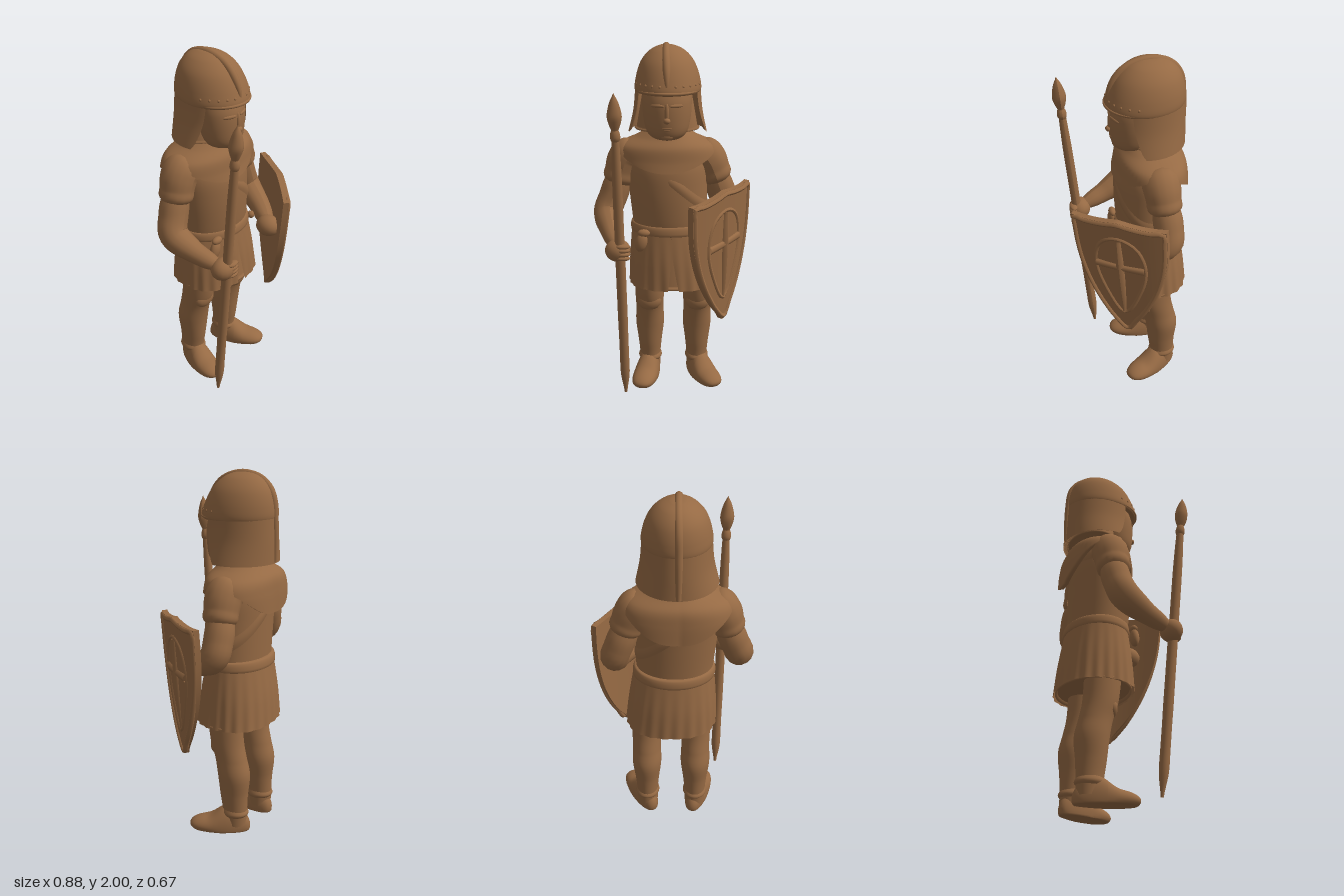
import * as THREE from 'three';
import { ParametricGeometry } from 'three/addons/geometries/ParametricGeometry.js';

const V = (x, y, z) => new THREE.Vector3(x, y, z);

// Smooth interpolation through a list of number rows
function spline(rows, t) {
  const n = rows.length - 1, i = Math.min(Math.floor(t * n), n - 1), f = t * n - i;
  const a = rows[Math.max(i - 1, 0)], b = rows[i], c = rows[i + 1], d = rows[Math.min(i + 2, n)];
  return b.map((p, k) => p + 0.5 * f * (c[k] - a[k] + f * (2 * a[k] - 5 * p + 4 * c[k] - d[k]
    + f * (3 * (p - c[k]) + d[k] - a[k]))));
}

// Point on an elliptical ring [y, cx, cz, rx, rz]; angle 0 is the front
const onRing = ([y, cx, cz, rx, rz], a, out = V()) => out.set(cx + rx * Math.sin(a), y, cz + rz * Math.cos(a));

const sheet = (fn, nu, nv) => new ParametricGeometry(fn, nu, nv);
const loft = (rings, nv = 24) =>
  sheet((u, v, p) => onRing(spline(rings, v), u * Math.PI * 2, p), 48, nv);

// Round tube through points with varying radius
function limb(points, radii, closed = false, segs = 32, sides = 16) {
  const curve = new THREE.CatmullRomCurve3(points.map(p => V(...p)), closed);
  const g = new THREE.TubeGeometry(curve, segs, 1, sides, closed);
  const pos = g.attributes.position, q = V();
  for (let i = 0; i < pos.count; i++) {
    const t = Math.floor(i / (sides + 1)) / segs, c = curve.getPointAt(Math.min(t, 1));
    const r = Math.max(0.001, spline(radii.map(x => [x]), Math.min(t, 1))[0]);
    q.fromBufferAttribute(pos, i).sub(c).multiplyScalar(r).add(c);
    pos.setXYZ(i, q.x, q.y, q.z);
  }
  g.computeVertexNormals();
  return g;
}

// Move every vertex by a rule
function warp(g, rule) {
  const pos = g.attributes.position, q = V();
  for (let i = 0; i < pos.count; i++) {
    rule(q.fromBufferAttribute(pos, i));
    pos.setXYZ(i, q.x, q.y, q.z);
  }
  g.computeVertexNormals();
  return g;
}

export function createModel() {
  const model = new THREE.Group();
  const bronze = new THREE.MeshStandardMaterial({ color: 0x966a44, side: THREE.DoubleSide });
  bronze.name = 'bronze brown';
  const add = (name, g, parent = model) => {
    const m = new THREE.Mesh(g, bronze);
    m.name = name;
    parent.add(m);
    return m;
  };
  const blob = (name, p, s, parent = model, n = 16) => {
    const m = add(name, new THREE.SphereGeometry(1, n, Math.max(6, n * 0.7 | 0)), parent);
    m.position.set(...p);
    m.scale.set(...s);
    return m;
  };

  // Torso, neck and belt
  const torso = [[0.93, -0.01, -0.12, 0.208, 0.155], [1.03, -0.015, -0.113, 0.212, 0.164], [1.2, -0.025, -0.11, 0.219, 0.17],
    [1.34, -0.03, -0.115, 0.22, 0.165], [1.44, -0.03, -0.13, 0.19, 0.13], [1.49, -0.03, -0.13, 0.1, 0.09]];
  add('torso', loft(torso));
  add('neck', loft([[1.42, -0.03, -0.11, 0.11, 0.11], [1.56, -0.03, -0.1, 0.1, 0.1]], 4));
  add('belt', loft([[0.95, -0.01, -0.12, 0.2, 0.155], [0.955, -0.01, -0.12, 0.226, 0.18],
    [1.0, -0.012, -0.12, 0.222, 0.175], [1.01, -0.012, -0.12, 0.2, 0.155]], 9));

  // Strap slung around the chest
  add('chestStrap', sheet((u, v, p) => {
    const a = u * Math.PI * 2, x = -0.03 + 0.218 * Math.sin(a), bulge = 0.005 * Math.sin(v * Math.PI);
    const y = Math.min(1.37, 1.27 - 0.95 * x) + (v - 0.5) * 0.07;
    const r = spline(torso, THREE.MathUtils.clamp((y - 0.95) / 0.56, 0, 0.7));
    onRing([y, r[1], r[2], r[3] + 0.003 + bulge, r[4] + 0.003 + bulge], a, p);
  }, 60, 6));

  // Shoulder mantle with a hem that dips at the front and back
  add('mantle', sheet((u, v, p) => {
    const a = u * Math.PI * 2, c = Math.cos(a), s2 = Math.abs(Math.sin(2 * a));
    const drop = c > 0 ? 0.55 + 0.4 * c * c : 0.6 + 0.4 * c * c;
    const rows = [[1.54, -0.03, -0.12, 0.1, 0.1], [1.495, -0.03, -0.125, 0.17, 0.135], [1.445, -0.03, -0.13, 0.265, 0.175],
      [1.37, -0.03, -0.13, 0.29, 0.188], [c > 0 ? 1.31 : 1.26, -0.03, -0.125, 0.275, 0.197]];
    const s = Math.min(v / 0.92, 1) * drop, tuck = v > 0.92 ? (v - 0.92) / 0.08 * 0.03 : 0;
    const r = spline(rows, s), square = c < 0 ? 1 + 0.11 * s2 * s : 1;
    onRing([r[0], r[1], r[2], (r[3] - tuck) * square, (r[4] - tuck) * square], a, p);
  }, 60, 24));

  // Pleated skirt with a front slit, over a closed lining
  add('skirt', sheet((u, v, p) => {
    const gap = 0.12 * Math.max(0, 1 - v * 1.6) + 0.005, a = gap + u * (Math.PI * 2 - 2 * gap);
    const w = 1 + (1 - v) * (0.05 * Math.sin(2 * a) ** 2 - 0.014 * (1 + Math.cos(22 * a)));
    const r = spline([[0.635, 0.005, -0.125, 0.257, 0.21], [0.8, -0.002, -0.123, 0.243, 0.197], [0.98, -0.01, -0.12, 0.22, 0.17]], v);
    onRing([r[0], r[1], r[2], r[3] * w, r[4] * w], a, p);
  }, 176, 12));
  add('skirtLining', loft([[0.655, 0.005, -0.125, 0.002, 0.002], [0.655, 0.005, -0.125, 0.235, 0.188],
    [0.66, 0.005, -0.125, 0.235, 0.188], [0.95, -0.01, -0.12, 0.2, 0.145]], 12));
  blob('beltPouch', [-0.175, 0.92, 0.045], [0.034, 0.055, 0.025]).rotation.z = -0.25;
  blob('beltKnot', [-0.16, 0.975, 0.045], [0.035, 0.022, 0.022]);
  blob('beltStud', [0.18, 0.97, 0.0], [0.022, 0.022, 0.022]);

  // Head and face
  const head = new THREE.Group();
  head.name = 'head';
  model.add(head);
  add('face', loft([[1.495, -0.03, -0.03, 0.002, 0.002], [1.5, -0.03, -0.025, 0.065, 0.067], [1.535, -0.03, -0.03, 0.108, 0.103],
    [1.61, -0.03, -0.04, 0.128, 0.124], [1.7, -0.03, -0.045, 0.134, 0.127], [1.77, -0.03, -0.06, 0.132, 0.12]]), head);
  blob('noseBridge', [-0.03, 1.65, 0.08], [0.013, 0.055, 0.013], head);
  blob('noseTip', [-0.03, 1.613, 0.087], [0.019, 0.016, 0.018], head);
  blob('upperLip', [-0.03, 1.573, 0.074], [0.03, 0.007, 0.01], head);
  blob('lowerLip', [-0.03, 1.56, 0.071], [0.024, 0.007, 0.01], head);
  blob('chin', [-0.03, 1.525, 0.052], [0.038, 0.024, 0.018], head);
  for (const s of [-1, 1]) {
    blob('eye', [-0.03 + s * 0.05, 1.655, 0.069], [0.02, 0.009, 0.006], head).rotation.y = s * 0.4;
    blob('brow', [-0.03 + s * 0.05, 1.69, 0.067], [0.04, 0.011, 0.011], head).rotation.y = s * 0.4;
  }

  // Helmet dome, neck guard, lining, brim, crest and rivets
  const helmet = new THREE.Group();
  helmet.name = 'helmet';
  model.add(helmet);
  add('helmetDome', loft([[1.745, -0.025, -0.1, 0.13, 0.15], [1.75, -0.025, -0.1, 0.178, 0.207], [1.82, -0.025, -0.11, 0.173, 0.2],
    [1.9, -0.027, -0.12, 0.145, 0.168], [1.955, -0.028, -0.127, 0.098, 0.118], [1.982, -0.03, -0.13, 0.045, 0.06],
    [1.988, -0.03, -0.13, 0.002, 0.002]], 36), helmet);
  add('neckGuard', sheet((u, v, p) => {
    const t = 1 - Math.abs(1 - 2 * v), open = 1.05 + 0.32 * t * t;
    const r = spline([[1.79, -0.025, -0.105, 0.176, 0.205], [1.65, -0.025, -0.105, 0.188, 0.211], [1.525, -0.027, -0.105, 0.215, 0.213]], t);
    const thick = v > 0.5 ? 0.028 * Math.pow(Math.sin(Math.PI * u), 0.3) : 0;
    onRing([r[0], r[1], r[2], r[3] - thick, r[4] - thick], open + u * (Math.PI * 2 - 2 * open), p);
  }, 48, 24), helmet);
  add('helmetLining', loft([[1.54, -0.03, -0.155, 0.002, 0.002], [1.54, -0.03, -0.155, 0.168, 0.13],
    [1.545, -0.03, -0.155, 0.168, 0.13], [1.76, -0.03, -0.15, 0.13, 0.11]], 9), helmet);
  const brimRing = [1.757, -0.025, -0.1, 0.177, 0.206], brim = [];
  for (let i = -6; i <= 6; i++) brim.push(onRing(brimRing, i * 0.2).toArray());
  add('helmetBrim', limb(brim, [0.003, 0.008, 0.008, 0.003]), helmet);
  for (let i = -5; i <= 5; i++) {
    if (i) blob('rivet', onRing([1.792, -0.025, -0.104, 0.175, 0.202], i * 0.24).toArray(), [0.008, 0.008, 0.007], helmet, 8);
  }
  add('helmetCrest', limb([[-0.03, 1.745, 0.097], [-0.03, 1.82, 0.086], [-0.032, 1.9, 0.044], [-0.033, 1.95, -0.012],
    [-0.033, 1.978, -0.125], [-0.034, 1.95, -0.23], [-0.035, 1.88, -0.286], [-0.035, 1.75, -0.305], [-0.035, 1.53, -0.312]],
    [0.004, 0.02, 0.021, 0.021, 0.021, 0.021, 0.019, 0.015], false, 60), helmet);

  // Arms with short sleeves
  add('rightSleeve', limb([[-0.18, 1.41, -0.13], [-0.255, 1.37, -0.125], [-0.29, 1.28, -0.12], [-0.315, 1.19, -0.115]],
    [0.06, 0.1, 0.1, 0.094, 0.088, 0.03]));
  add('rightArm', limb([[-0.29, 1.28, -0.12], [-0.33, 1.16, -0.11], [-0.365, 1.065, -0.08], [-0.345, 1.0, 0.03], [-0.31, 0.955, 0.16],
    [-0.295, 0.945, 0.2]], [0.07, 0.08, 0.08, 0.08, 0.072, 0.058, 0.048, 0.03]));
  add('leftSleeve', limb([[0.12, 1.41, -0.14], [0.192, 1.37, -0.14], [0.232, 1.29, -0.145], [0.265, 1.2, -0.15]],
    [0.06, 0.1, 0.1, 0.094, 0.088, 0.03]));
  add('leftArm', limb([[0.235, 1.28, -0.15], [0.28, 1.16, -0.16], [0.31, 1.07, -0.15], [0.27, 1.0, -0.02], [0.2, 0.965, 0.1],
    [0.18, 0.96, 0.13]], [0.07, 0.08, 0.08, 0.078, 0.068, 0.06, 0.052, 0.03]));
  blob('rightHand', [-0.295, 0.935, 0.21], [0.07, 0.062, 0.062]);
  for (let i = 0; i < 4; i++) blob('rightFinger', [-0.265, 0.97 - i * 0.022, 0.25], [0.04, 0.014, 0.024], model, 10);
  blob('leftHand', [0.172, 0.955, 0.135], [0.064, 0.06, 0.072]);

  // Spear: shaft and leaf-shaped head
  const at = y => [-0.27 - 0.0135 * (y - 0.04), y, 0.145 + 0.092 * (y - 0.04)];
  add('spearShaft', limb([at(0.035), at(0.6), at(1.2), at(1.62)],
    [0.008, 0.025, 0.026, 0.026, 0.027, 0.027, 0.027, 0.027, 0.026, 0.026, 0.026, 0.025, 0.022, 0.018], false, 56));
  add('spearSocket', limb([at(1.54), at(1.58), at(1.62)], [0.015, 0.026, 0.024, 0.015], false, 12));
  add('spearHead', limb([at(1.6), at(1.7), at(1.8)], [0.016, 0.03, 0.038, 0.032, 0.02, 0.001], false, 20, 8));

  // Legs, knee pads, ankle cuffs and feet
  for (const [side, x, turn] of [['right', -0.135, -0.22], ['left', 0.147, 0.45]]) {
    const leg = new THREE.Group();
    leg.name = side + 'Leg';
    leg.position.x = x;
    model.add(leg);
    add('leg', loft([[0.04, 0, -0.185, 0.06, 0.07], [0.13, 0, -0.185, 0.062, 0.072], [0.22, 0, -0.18, 0.07, 0.08],
      [0.34, 0, -0.178, 0.084, 0.092], [0.44, 0, -0.158, 0.081, 0.09], [0.54, 0, -0.133, 0.084, 0.095], [0.68, 0, -0.12, 0.085, 0.1]]), leg);
    blob('kneePad', [0, 0.51, -0.085], [0.07, 0.06, 0.042], leg);
    add('ankleCuff', loft([[0.085, 0, -0.185, 0.055, 0.06], [0.11, 0, -0.185, 0.07, 0.08], [0.14, 0, -0.185, 0.06, 0.065]], 8), leg);
    const foot = add('foot', warp(new THREE.SphereGeometry(1, 32, 24), p => {
      const z = p.z, h = 0.06 + 0.07 * THREE.MathUtils.smoothstep(-z, -0.45, 0.35);
      const fill = Math.pow(Math.max(1 - z * z, 0), -0.12);
      p.set(p.x * (0.072 + 0.012 * z) * Math.min(fill, 1.4), 0.025 + p.y * h, z * 0.172 + 0.084);
      p.y = Math.max(0, p.y);
    }), leg);
    foot.position.z = -0.185;
    foot.rotation.y = turn;
  }

  // Curved shield with raised rim and cross
  const shield = new THREE.Group();
  shield.name = 'shield';
  shield.position.set(0.275, 0.853, 0.088);
  shield.rotation.set(0.05, 0.927, 0.06, 'YXZ');
  model.add(shield);
  const halfWidth = s => spline([[0.27], [0.27], [0.258], [0.227], [0.175], [0.1], [0.006]], s)[0];
  const place = (k, s, lift) => {
    const x = k * halfWidth(s), dip = 0.022 * Math.sin(Math.PI * 0.62 * Math.abs(k)) * (1 - s);
    return V(x, 0.39 - 0.78 * s - dip, lift - 0.35 * x * x);
  };
  add('shieldBoard', warp(new THREE.BoxGeometry(2, 1, 0.032, 20, 28, 1), p => p.copy(place(p.x, 0.5 - p.y, p.z))), shield);
  const rim = [];
  for (let i = 0; i <= 8; i++) rim.push(place(-0.94 + i * 0.235, 0.02, 0.012).toArray());
  for (let i = 1; i <= 10; i++) rim.push(place(0.94, i * 0.098, 0.012).toArray());
  for (let i = 9; i >= 1; i--) rim.push(place(-0.94, i * 0.098, 0.012).toArray());
  add('shieldRim', limb(rim, [0.015, 0.015], true, 90, 8), shield);
  const relief = (name, pts, radii, closed) =>
    add(name, limb(pts.map(([x, y]) => [x, y, 0.009 - 0.35 * x * x]), radii, closed, 40, 8), shield);
  relief('reliefRing', [[0, 0.28], [0.1, 0.235], [0.145, 0.1], [0.105, -0.08], [0, -0.25], [-0.105, -0.08], [-0.145, 0.1], [-0.1, 0.235]],
    [0.014, 0.014], true);
  relief('crossUpright', [[0, 0.27], [0, 0], [0, -0.24]], [0.02, 0.025, 0.026, 0.022, 0.014]);
  relief('crossBar', [[-0.14, 0.085], [0, 0.085], [0.14, 0.085]], [0.025, 0.022, 0.025]);
  return model;
}
